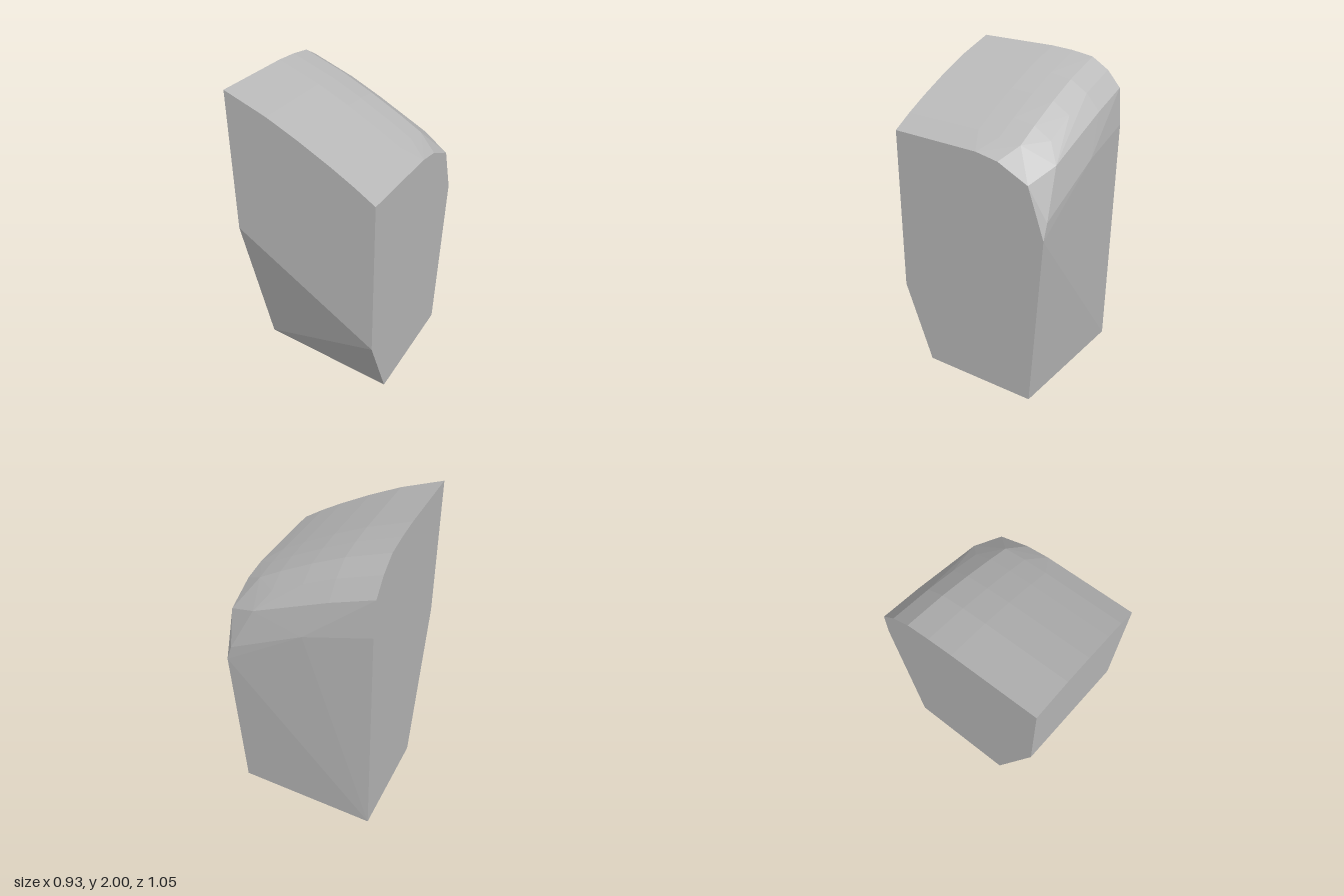
import * as THREE from 'three';
import { ConvexGeometry } from 'three/addons/geometries/ConvexGeometry.js';

export function createModel() {
  const group = new THREE.Group();
  const stone = new THREE.MeshStandardMaterial({ color: 0xb8b8b8 });
  const W = 0.465, F = 0.525;
  const points = [];
  const add = (x, y, z) => points.push(new THREE.Vector3(x, y, z));

  // Crown: the front arc [x, y] swept back along a falling profile [z, drop]
  const arc = [[-W, 2], [-0.2, 1.907], [0, 1.817], [0.2, 1.716], [0.34, 1.638]];
  const fall = [[F, 0], [0, 0.02], [-0.15, 0.035], [-0.29, 0.06], [-0.4, 0.13], [-0.487, 0.23]];
  for (const [x, y] of arc) {
    for (const [z, drop] of fall) {
      if (x > 0.3 && z < -0.35) continue; // the low back corner is chipped away
      add(x, y - drop, z);
    }
  }

  // Left side outline [z, y]
  const left = [[F, 0.51], [F, 1.56], [-0.07, 1.535], [-0.22, 1.505], [-0.42, 1.405],
    [-0.525, 1.1], [-0.44, 0], [0.33, 0]];
  for (const [z, y] of left) add(W, y, z);

  // Lower right side outline [z, y]
  const right = [[F, 1.085], [-0.505, 1.54], [-0.467, 0], [0.27, 0]];
  for (const [z, y] of right) add(-W, y, z);

  // Worn shoulder along the back
  add(0.28, 1.48, -0.485);
  add(-0.05, 1.43, -0.525);
  add(0.43, 1.2, -0.525);

  const block = new THREE.Mesh(new ConvexGeometry(points), stone);
  block.name = 'stoneBlock';
  group.add(block);
  return group;
}
